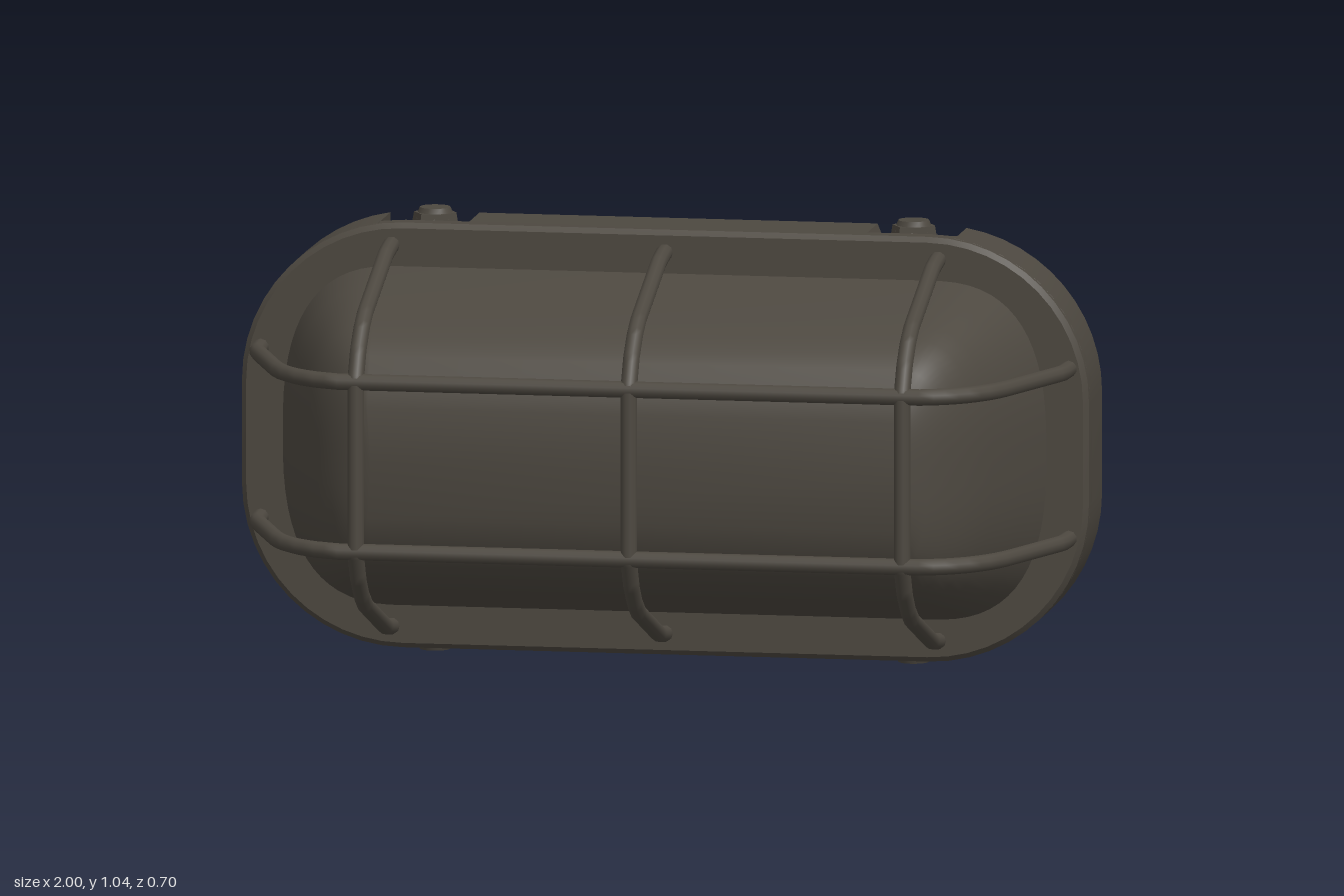
import * as THREE from 'three';
import { toCreasedNormals } from 'three/addons/utils/BufferGeometryUtils.js';

const CY = 0.525; // height of the lamp's centre line

export function createModel() {
  const group = new THREE.Group();
  const metal = new THREE.MeshStandardMaterial({ color: 0x4d4840 });
  metal.name = 'dark bronze';

  const add = (name, geometry, x = 0, y = 0, z = 0) => {
    const mesh = new THREE.Mesh(geometry, metal);
    mesh.name = name;
    mesh.position.set(x, y, z);
    group.add(mesh);
    return mesh;
  };

  // Rounded housing outline, optionally with bolt pockets in the long sides
  const outline = (notched) => {
    const r = 0.38, cx = 1 - r, cy = 0.5 - r;
    const quarter = notched ? [[0.47, 0.5], [0.48, 0.475], [0.68, 0.475]] : [];
    const start = notched ? Math.acos((0.68 - cx) / r) : Math.PI / 2;
    for (let i = 0; i <= 12; i++) {
      const a = start * (1 - i / 12);
      quarter.push([cx + r * Math.cos(a), cy + r * Math.sin(a)]);
    }
    const back = [...quarter].reverse();
    const pts = [
      ...quarter,
      ...back.map(([x, y]) => [x, -y]),
      ...quarter.map(([x, y]) => [-x, -y]),
      ...back.map(([x, y]) => [-x, y]),
    ];
    // drop repeated points and run counter-clockwise
    const clean = pts.filter(([x, y], i) => {
      const [px, py] = pts[(i + pts.length - 1) % pts.length];
      return Math.hypot(x - px, y - py) > 1e-5;
    });
    return new THREE.Shape(clean.reverse().map(([x, y]) => new THREE.Vector2(x, y)));
  };

  // Housing: a notched back body overlapping a plain front rim
  const slab = (name, notched, z0, z1) => {
    const b = 0.012;
    const geo = new THREE.ExtrudeGeometry(outline(notched), {
      depth: z1 - z0 - 2 * b, bevelEnabled: true, bevelSize: b,
      bevelThickness: b, bevelOffset: -b, bevelSegments: 1,
    });
    add(name, toCreasedNormals(geo, 0.5), 0, CY, z0 + b);
  };
  slab('housingBody', true, -0.35, -0.165);
  slab('housingRim', false, -0.215, -0.15);

  // Globe: lofted outlines of z, half height and end bulge
  const levels = [
    [-0.16, 0.402, 0.285], [-0.04, 0.368, 0.245], [0.08, 0.33, 0.195],
    [0.135, 0.306, 0.17], [0.18, 0.28, 0.14], [0.22, 0.245, 0.105],
    [0.248, 0.205, 0.07], [0.268, 0.13, 0.035], [0.275, 0, 0],
  ];
  const N = 64, verts = [], index = [];
  const power = (v) => Math.sign(v) * Math.abs(v) ** 0.75;
  levels.forEach(([z, h, e], k) => {
    for (let i = 0; i < N; i++) {
      const a = ((i + 0.5) / N) * Math.PI * 2;
      const c = Math.cos(a), s = Math.sin(a);
      verts.push(Math.sign(c) * 0.62 + e * power(c), h * power(s), z);
      if (k) {
        const j = (i + 1) % N, p = (k - 1) * N, q = k * N;
        index.push(p + i, p + j, q + j, p + i, q + j, q + i);
      }
    }
  });
  const globe = new THREE.BufferGeometry();
  globe.setAttribute('position', new THREE.Float32BufferAttribute(verts, 3));
  globe.setIndex(index);
  add('globe', toCreasedNormals(globe, 0.6), 0, CY, 0);

  // Guard bars: half paths of (offset, z), mirrored about the centre
  const bar = (name, half, toPoint) => {
    const pts = [...half, ...half.map(([u, z]) => [-u, z]).reverse()].map(([u, z]) => toPoint(u, z));
    const path = new THREE.CurvePath();
    for (let i = 1; i < pts.length; i++) path.add(new THREE.LineCurve3(pts[i - 1], pts[i]));
    add(name, new THREE.TubeGeometry(path, 90, 0.0195, 10));
  };
  const longHalf = [[0.955, -0.17], [0.95, -0.08], [0.86, 0.17], [0.835, 0.22],
    [0.795, 0.27], [0.75, 0.305], [0.69, 0.33]];
  const shortHalf = [[0.45, -0.17], [0.447, -0.13], [0.437, -0.07], [0.345, 0.2],
    [0.315, 0.25], [0.27, 0.295], [0.205, 0.33]];
  for (const y of [0.325, 0.725]) {
    bar('horizontalGuardBar', longHalf, (u, z) => new THREE.Vector3(u, y, z));
  }
  for (const x of [-0.645, 0, 0.645]) {
    bar('verticalGuardBar', shortHalf, (u, z) => new THREE.Vector3(x, CY + u, z));
  }

  // Bolts: hexagonal collar with a tapered cap, two above and two below
  const hex = toCreasedNormals(new THREE.CylinderGeometry(0.05, 0.057, 0.04, 6), 0.3);
  const cap = toCreasedNormals(new THREE.CylinderGeometry(0.036, 0.046, 0.025, 16), 0.6);
  for (const x of [-0.565, 0.565]) {
    for (const side of [1, -1]) {
      for (const [name, geo, offset] of [['boltCollar', hex, 0.488], ['boltCap', cap, 0.5075]]) {
        const part = add(name, geo, x, CY + side * offset, -0.283);
        part.rotation.set(side < 0 ? Math.PI : 0, Math.PI / 6, 0);
      }
    }
  }

  return group;
}
